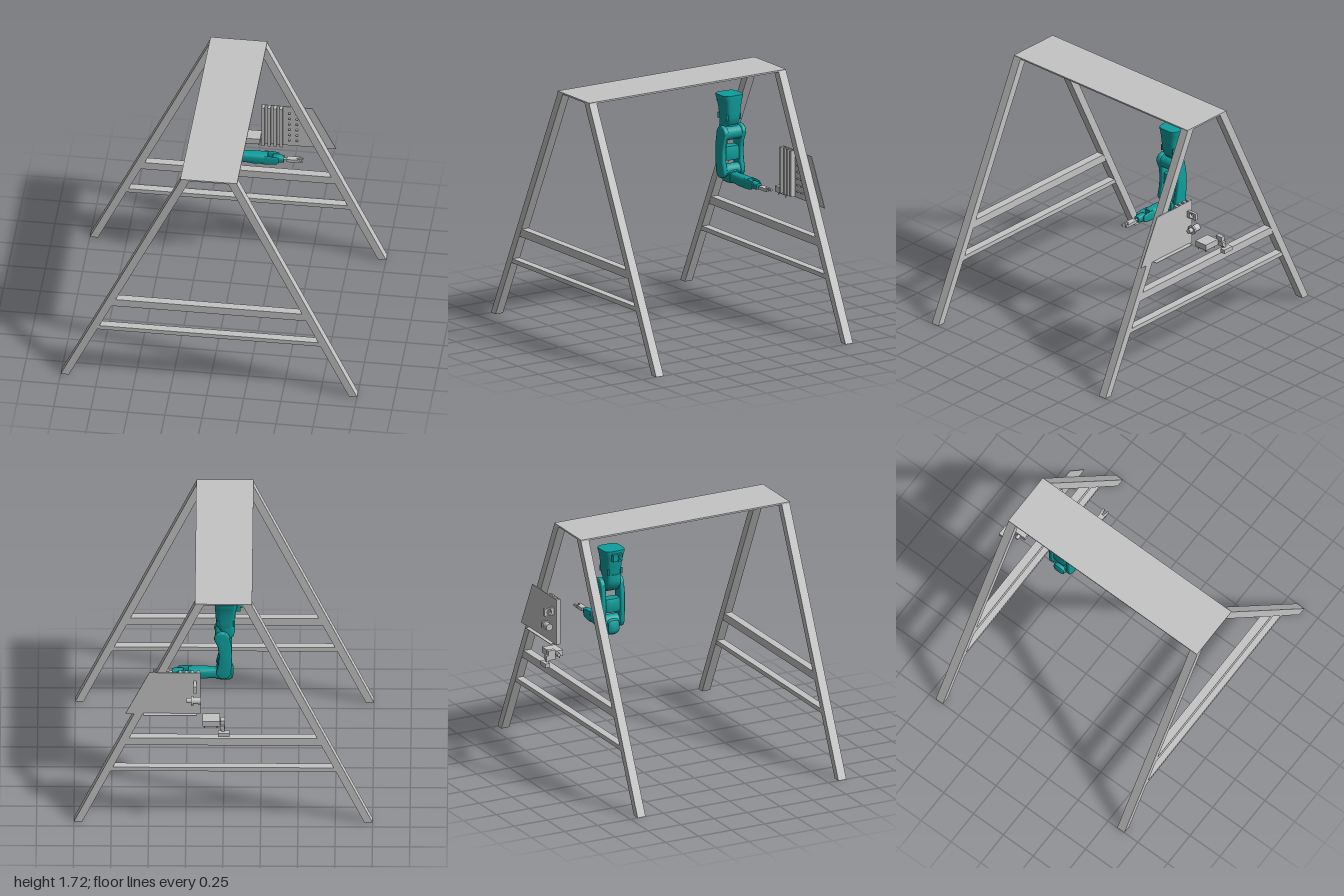
import * as THREE from 'three';
import { mergeVertices, toCreasedNormals } from 'three/addons/utils/BufferGeometryUtils.js';

const material = (name, color, side = THREE.FrontSide) => {
  const m = new THREE.MeshStandardMaterial({ color, side });
  m.name = name;
  return m;
};

// Extruded outline, centred in z
function slab(points, depth, bevel = 0) {
  const shape = new THREE.Shape(points.map(([x, y]) => new THREE.Vector2(x, y)));
  const g = new THREE.ExtrudeGeometry(shape, {
    depth: depth - 2 * bevel, bevelEnabled: bevel > 0, bevelSize: bevel,
    bevelThickness: bevel, bevelOffset: -bevel, bevelSegments: 3
  });
  return g.translate(0, 0, -depth / 2 + bevel);
}

// Skin over rounded-square sections [y, cx, halfX, halfZ], listed from bottom to top
function loft(sections, n = 32, power = 0.6) {
  const pos = [], index = [];
  const soft = v => Math.sign(v) * Math.abs(v) ** power;
  for (const [y, cx, hx, hz] of sections)
    for (let i = 0; i < n; i++) {
      const a = i / n * Math.PI * 2;
      pos.push(cx + hx * soft(Math.cos(a)), y, hz * soft(Math.sin(a)));
    }
  for (let s = 0; s < sections.length - 1; s++)
    for (let i = 0; i < n; i++) {
      const a = s * n + i, b = s * n + (i + 1) % n;
      index.push(a, a + n, b, b, a + n, b + n);
    }
  const last = (sections.length - 1) * n;
  for (let i = 1; i < n - 1; i++) index.push(0, i, i + 1, last, last + i + 1, last + i);
  const g = new THREE.BufferGeometry();
  g.setAttribute('position', new THREE.Float32BufferAttribute(pos, 3));
  g.setIndex(index);
  return toCreasedNormals(g, 0.7);
}

export function createModel() {
  const model = new THREE.Group();
  model.name = 'robotCell';
  const steel = material('steel grey', 0xc4c4c4);
  const teal = material('teal', 0x0d9f9d);

  const add = (parent, name, geometry, mat, x = 0, y = 0, z = 0) => {
    const mesh = new THREE.Mesh(geometry, mat);
    mesh.name = name;
    mesh.position.set(x, y, z);
    parent.add(mesh);
    return mesh;
  };
  const group = (name, x = 0, y = 0, z = 0) => {
    const g = new THREE.Group();
    g.name = name;
    g.position.set(x, y, z);
    model.add(g);
    return g;
  };
  // Box given by its limits
  const box = (parent, name, mat, x0, x1, y0, y1, z0, z1) =>
    add(parent, name, new THREE.BoxGeometry(x1 - x0, y1 - y0, z1 - z0), mat,
      (x0 + x1) / 2, (y0 + y1) / 2, (z0 + z1) / 2);
  const rod = (parent, name, mat, r, length, axis, x, y, z) => {
    const g = new THREE.CylinderGeometry(r, r, length, 32);
    if (axis === 'x') g.rotateZ(Math.PI / 2);
    if (axis === 'z') g.rotateX(Math.PI / 2);
    return add(parent, name, g, mat, x, y, z);
  };

  // Two A-frames joined by the top plate
  const frame = group('frame');
  const inner = y => 0.945 - y * 0.4766;
  for (const z of [0.857, -0.665]) {
    for (const s of [1, -1]) {
      const leg = [[s * 0.945, 0], [s * 1, 0], [s * 0.19, 1.71], [s * 0.13, 1.71]];
      add(frame, 'leg', slab(leg, 0.06), steel, 0, 0, z);
    }
    for (const [y0, y1] of [[0.605, 0.66], [0.4, 0.43]]) {
      const rail = [[-inner(y0), y0], [inner(y0), y0], [inner(y1), y1], [-inner(y1), y1]];
      add(frame, 'crossRail', slab(rail, 0.056), steel, 0, 0, z);
    }
  }
  box(frame, 'topPlate', steel, -0.193, 0.19, 1.707, 1.718, -0.695, 0.887);

  // Hanging robot arm
  const robot = group('robotArm', 0, 0, -0.375);
  add(robot, 'base', loft([
    [1.345, -0.015, 0.045, 0.05], [1.365, -0.012, 0.055, 0.055], [1.4, -0.011, 0.062, 0.057],
    [1.46, -0.013, 0.068, 0.062], [1.52, -0.016, 0.075, 0.072], [1.535, -0.017, 0.077, 0.078],
    [1.553, -0.017, 0.077, 0.078]], 32, 0.5), teal);
  box(robot, 'connectorBox', teal, -0.115, -0.08, 1.485, 1.535, -0.035, 0.035);
  for (const y of [1.495, 1.52]) rod(robot, 'connector', teal, 0.01, 0.03, 'x', -0.112, y, 0.01);
  for (const sx of [-0.07, 0.038]) for (const z of [-0.05, 0.05])
    rod(robot, 'baseBolt', teal, 0.008, 0.04, 'y', sx, 1.4, z);
  add(robot, 'turret', loft([
    [1.26, -0.005, 0.03, 0.05], [1.29, -0.02, 0.05, 0.055], [1.33, -0.026, 0.052, 0.056],
    [1.375, -0.026, 0.048, 0.054]]), teal);
  rod(robot, 'shoulderJoint', teal, 0.048, 0.15, 'z', 0.01, 1.288, 0);

  // Curved upper arm: two side links with a bridge between
  const spine = [[0.01, 1.29, 0.053], [-0.008, 1.23, 0.046], [-0.013, 1.16, 0.043],
    [-0.01, 1.09, 0.045], [0, 1.03, 0.05]];
  const outline = [];
  spine.slice(1, -1).forEach(([x, y, r]) => outline.push([x + r, y]));
  const arc = ([x, y, r], from) => {
    for (let i = 0; i <= 16; i++) {
      const a = from - i / 16 * Math.PI;
      outline.push([x + r * Math.cos(a), y + r * Math.sin(a)]);
    }
  };
  arc(spine[4], 0);
  spine.slice(1, -1).reverse().forEach(([x, y, r]) => outline.push([x - r, y]));
  arc(spine[0], Math.PI);
  for (const z of [-0.071, 0.071])
    add(robot, 'upperArmLink',
      toCreasedNormals(mergeVertices(slab(outline, 0.035, 0.01)), 0.6), teal, 0, 0, z);
  add(robot, 'upperArmBridge', loft([
    [1.1, -0.011, 0.036, 0.065], [1.115, -0.012, 0.041, 0.065],
    [1.175, -0.013, 0.041, 0.065], [1.195, -0.012, 0.035, 0.065]]), teal);

  // Elbow and forearm, lofted upright then laid along x
  const alongX = (name, sections) => {
    const flipped = sections.map(([x, y, hy, hz]) => [x, -y, hy, hz]);
    return add(robot, name, loft(flipped).rotateZ(-Math.PI / 2).scale(1, 1, 1), teal);
  };
  alongX('elbow', [[-0.066, 1.0, 0.026, 0.03], [-0.058, 0.998, 0.046, 0.042],
    [-0.04, 0.996, 0.056, 0.045], [0.02, 0.996, 0.055, 0.045], [0.05, 0.987, 0.042, 0.04]]
    .map(([x, y, hy, hz]) => [x, -y, hy, hz]).map(([x, y, hy, hz]) => [x, -y, hy, hz]));
  rod(robot, 'elbowJoint', teal, 0.042, 0.15, 'z', 0, 1.03, 0);
  alongX('forearm', [[0.03, 0.987, 0.036, 0.036], [0.09, 0.985, 0.035, 0.036],
    [0.13, 0.984, 0.039, 0.039], [0.2, 0.984, 0.038, 0.038], [0.235, 0.985, 0.034, 0.037]]);
  for (const z of [-0.031, 0.031]) {
    const cheek = alongX('wristCheek', [[0.21, 0.985, 0.034, 0.008], [0.27, 0.986, 0.031, 0.008],
      [0.3, 0.987, 0.026, 0.007], [0.312, 0.987, 0.016, 0.005]]);
    cheek.position.z = z;
  }
  alongX('wrist', [[0.268, 0.987, 0.02, 0.022], [0.28, 0.987, 0.026, 0.025],
    [0.315, 0.987, 0.025, 0.024], [0.345, 0.987, 0.021, 0.021]]);

  // Gripper
  const gripper = group('gripper', 0, 0.987, -0.375);
  rod(gripper, 'gripperFlange', steel, 0.008, 0.03, 'x', 0.355, 0, 0);
  box(gripper, 'gripperBody', steel, 0.365, 0.43, -0.011, 0.011, -0.02, 0.02);
  for (const s of [-1, 1]) {
    box(gripper, 'fingerCarrier', steel, 0.43, 0.448, -0.01, 0.01, s * 0.015 - 0.008, s * 0.015 + 0.008);
    box(gripper, 'finger', steel, 0.448, 0.472, -0.007, 0.007, s * 0.017 - 0.006, s * 0.017 + 0.006);
  }

  // Tool board with storage ribs and pegs on its front
  const board = group('toolBoard');
  add(board, 'boardPlate', slab([[0.152, 0.856], [0.655, 0.856], [0.495, 1.18], [0.152, 1.18]], 0.005),
    steel, 0, 0, -0.698);
  for (let i = 0; i < 4; i++)
    box(board, 'boardRib', steel, 0.155 + i * 0.04, 0.175 + i * 0.04, 0.858, 1.178, -0.697, -0.665);
  for (const x of [0.34, 0.39]) for (let i = 0; i < 6; i++)
    box(board, 'boardPeg', steel, x - 0.007, x + 0.007, 0.9 + i * 0.045, 0.908 + i * 0.045, -0.697, -0.68);
  box(board, 'rearFlange', steel, 0.18, 0.535, 0.857, 0.861, -0.73, -0.7);

  // Square bracket with a round hole, and a motor, behind the board
  const ring = new THREE.Shape([[-0.037, -0.025], [0.037, -0.025], [0.037, 0.025], [-0.037, 0.025]]
    .map(([x, y]) => new THREE.Vector2(x, y)));
  ring.holes.push(new THREE.Path().absarc(0, 0, 0.018, 0, Math.PI * 2, true));
  const bracket = new THREE.ExtrudeGeometry(ring, { depth: 0.02, bevelEnabled: false, curveSegments: 24 });
  add(board, 'holeBracket', bracket.rotateY(Math.PI / 2), steel, 0.18, 1.09, -0.738);
  rod(board, 'motorBody', steel, 0.024, 0.05, 'x', 0.175, 0.993, -0.752);
  rod(board, 'motorCollar', steel, 0.032, 0.014, 'x', 0.207, 0.993, -0.752);
  rod(board, 'motorNose', steel, 0.017, 0.03, 'x', 0.229, 0.993, -0.752);

  // Small feeder unit beside the board
  const feeder = group('feeder');
  box(feeder, 'feederBody', steel, 0.02, 0.138, 0.828, 0.87, -0.815, -0.718);
  box(feeder, 'feederColumn', steel, -0.012, 0.018, 0.825, 0.893, -0.845, -0.795);
  box(feeder, 'feederArm', steel, -0.01, 0.022, 0.83, 0.86, -0.86, -0.8);
  box(feeder, 'feederFoot', steel, -0.043, 0.035, 0.79, 0.818, -0.887, -0.85);
  box(feeder, 'feederLink', steel, -0.01, 0.01, 0.805, 0.845, -0.862, -0.84);
  rod(feeder, 'feederKnob', steel, 0.012, 0.03, 'x', 0.005, 0.85, -0.765);
  for (const x of [0.04, 0.125]) for (const z of [-0.8, -0.735])
    rod(feeder, 'feederPin', steel, 0.004, 0.02, 'y', x, 0.82, z);
  return model;
}
